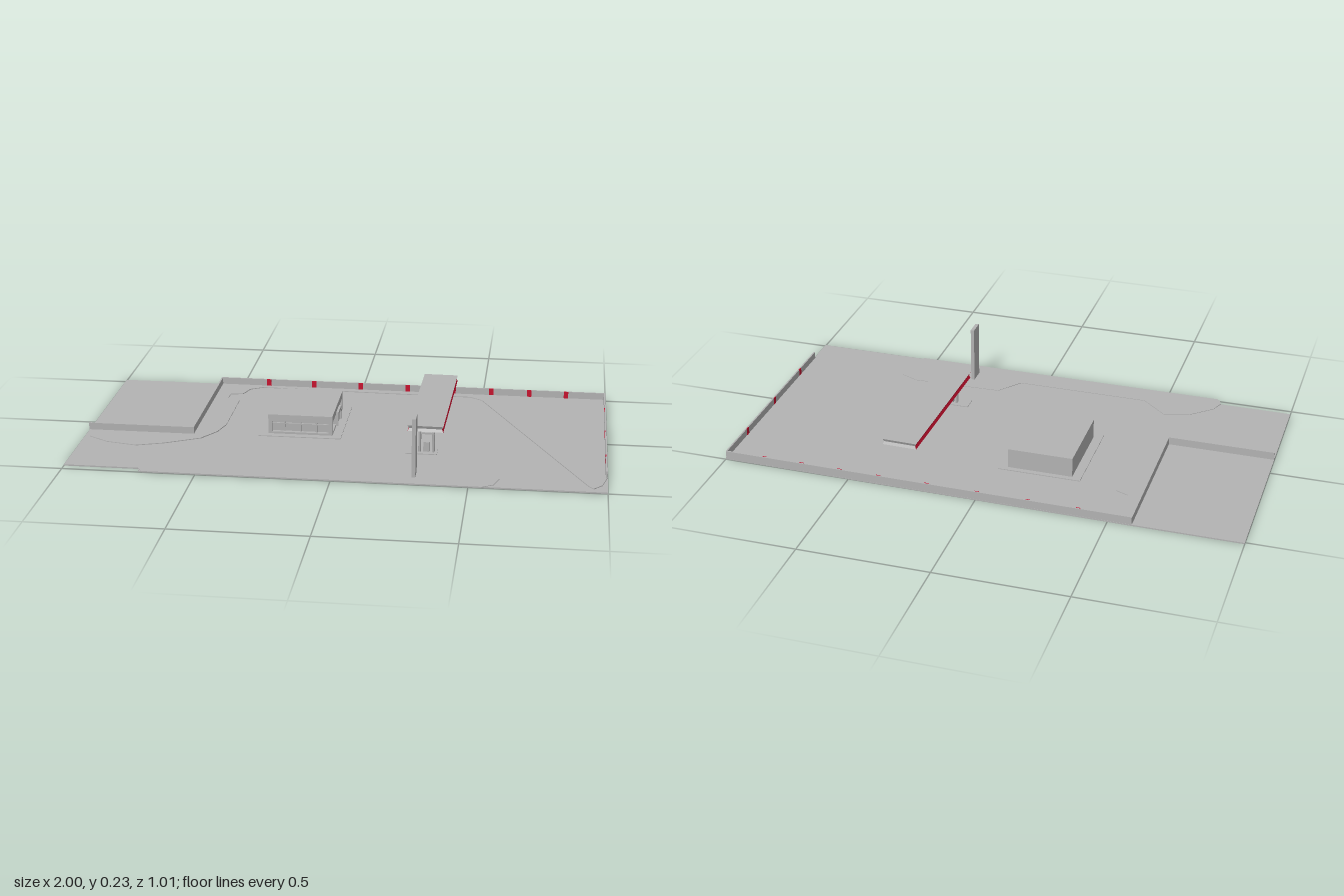
import * as THREE from 'three';

const grey = new THREE.MeshStandardMaterial({ color: 0xb3b3b3 });
grey.name = 'concreteGrey';
const red = new THREE.MeshStandardMaterial({ color: 0xc8102e });
red.name = 'signalRed';

function add(parent, name, geometry, material = grey) {
  const mesh = new THREE.Mesh(geometry, material);
  mesh.name = name;
  parent.add(mesh);
  return mesh;
}

// Box given by its minimum and maximum corners
function box(parent, name, [x0, y0, z0], [x1, y1, z1], material = grey) {
  const mesh = add(parent, name, new THREE.BoxGeometry(x1 - x0, y1 - y0, z1 - z0), material);
  mesh.position.set((x0 + x1) / 2, (y0 + y1) / 2, (z0 + z1) / 2);
  return mesh;
}

// Flat plate from an outline of [x, z] points
function plate(parent, name, outline, y0, y1) {
  const shape = new THREE.Shape(outline.map(([x, z]) => new THREE.Vector2(x, -z)));
  const geometry = new THREE.ExtrudeGeometry(shape, { depth: y1 - y0, bevelEnabled: false });
  geometry.rotateX(-Math.PI / 2).translate(0, y0, 0);
  return add(parent, name, geometry);
}

// Upright wall between two [x, z] points
function wall(parent, name, [x0, z0], [x1, z1]) {
  const mesh = add(parent, name,
    new THREE.BoxGeometry(Math.hypot(x1 - x0, z1 - z0), 0.03, 0.006));
  mesh.position.set((x0 + x1) / 2, 0.02, (z0 + z1) / 2);
  mesh.rotation.y = -Math.atan2(z1 - z0, x1 - x0);
  return mesh;
}

function createSite() {
  const site = new THREE.Group();
  site.name = 'site';
  plate(site, 'ground',
    [[-1, -0.51], [-0.59, -0.51], [1, -0.5], [1, 0.5], [-0.71, 0.5], [-0.72, 0.47], [-1, 0.47]], 0, 0.005);

  // Raised verge between the forecourt kerb and the boundary walls
  plate(site, 'verge', [
    [-1, 0.1], [-0.98, 0.17], [-0.9, 0.22], [-0.78, 0.245], [-0.68, 0.21], [-0.55, 0.14],
    [-0.5, 0.06], [-0.48, -0.02], [-0.48, -0.3], [-0.53, -0.32], [-0.53, -0.38], [-0.48, -0.39],
    [-0.46, -0.45], [-0.41, -0.48], [0.1, -0.467], [0.45, -0.463], [0.5, -0.43],
    [0.93, 0.45], [0.95, 0.475], [0.98, 0.44], [1, 0.36],
    [1, -0.498], [-0.59, -0.507], [-0.59, 0.1],
  ], 0.003, 0.008);

  // Raised pavement along the front edge
  plate(site, 'pavement', [
    [-0.7, 0.505], [-0.72, 0.47], [-0.7, 0.42], [-0.62, 0.35], [-0.52, 0.32], [-0.42, 0.41],
    [0.1, 0.41], [0.17, 0.32], [0.52, 0.31], [0.59, 0.34], [0.61, 0.42], [0.59, 0.48], [0.55, 0.505],
  ], 0.003, 0.007);

  wall(site, 'backWall', [-0.59, -0.506], [0.997, -0.497]);
  wall(site, 'sideWall', [0.996, -0.497], [0.996, 0.37]);
  wall(site, 'leftReturnWall', [-0.588, -0.506], [-0.588, 0.1]);
  wall(site, 'leftFrontWall', [-1, 0.098], [-0.586, 0.098]);

  // Red bands on the inner faces of the walls
  for (const x of [-0.39, -0.2, -0.005, 0.19, 0.38, 0.535, 0.69, 0.84]) {
    const z = -0.5025 + (x + 0.59) * 0.00566;
    box(site, 'backWallBand', [x - 0.009, 0.007, z - 0.002], [x + 0.009, 0.0355, z + 0.001], red);
  }
  for (const z of [-0.31, -0.05, 0.21]) {
    box(site, 'sideWallBand', [0.992, 0.007, z - 0.009], [0.995, 0.0355, z + 0.009], red);
  }
  return site;
}

function createShop() {
  const shop = new THREE.Group();
  shop.name = 'shop';
  box(shop, 'shopPlinth', [-0.335, 0.002, -0.275], [-0.015, 0.008, 0.085]);
  box(shop, 'shopCore', [-0.3, 0.005, -0.255], [-0.064, 0.062, 0.042]);
  box(shop, 'shopRoof', [-0.3, 0.058, -0.255], [-0.05, 0.085, 0.057]);
  box(shop, 'frontSill', [-0.3, 0.005, 0.04], [-0.05, 0.016, 0.057]);
  box(shop, 'sideSill', [-0.066, 0.005, -0.255], [-0.05, 0.016, 0.057]);
  // Corner posts and window rails
  for (const [x, z] of [[-0.3, 0.041], [-0.066, 0.041], [-0.066, -0.255]]) {
    box(shop, 'cornerPost', [x, 0.005, z], [x + 0.016, 0.06, z + 0.016]);
  }
  box(shop, 'frontWindowRail', [-0.29, 0.045, 0.04], [-0.06, 0.049, 0.049]);
  box(shop, 'sideWindowRail', [-0.066, 0.045, -0.245], [-0.057, 0.049, 0.05]);
  for (let i = 1; i < 4; i++) {
    const x = -0.3 + i * 0.0625;
    box(shop, 'windowMullion', [x - 0.002, 0.014, 0.04], [x + 0.002, 0.06, 0.047]);
  }
  // Entrance porch
  box(shop, 'porchRoof', [-0.07, 0.049, -0.145], [-0.041, 0.063, -0.055]);
  for (const z of [-0.145, -0.063]) box(shop, 'porchSide', [-0.07, 0.005, z], [-0.041, 0.05, z + 0.008]);
  box(shop, 'door', [-0.07, 0.005, -0.14], [-0.047, 0.05, -0.06]);
  return shop;
}

function createCanopy() {
  const canopy = new THREE.Group();
  canopy.name = 'canopy';

  // Roof with a V groove round its edge and red long sides
  const roof = new THREE.BoxGeometry(0.134, 0.022, 0.61, 1, 2, 1);
  const p = roof.attributes.position;
  for (let i = 0; i < p.count; i++) {
    if (Math.abs(p.getY(i)) < 0.001) {
      p.setX(i, p.getX(i) - Math.sign(p.getX(i)) * 0.005);
      p.setZ(i, p.getZ(i) - Math.sign(p.getZ(i)) * 0.005);
    }
  }
  const faceted = roof.toNonIndexed();
  faceted.computeVertexNormals();
  const mesh = add(canopy, 'canopyRoof', faceted, [red, red, grey, grey, grey, grey]);
  mesh.position.set(0.329, 0.114, -0.081);
  mesh.rotation.y = -0.022;

  // Post frame and pump at the front end
  box(canopy, 'pumpIsland', [0.245, 0.002, 0.15], [0.365, 0.008, 0.205]);
  for (const x of [0.298, 0.35]) {
    for (const z of [0.169, 0.181]) {
      const post = add(canopy, 'post', new THREE.CylinderGeometry(0.005, 0.005, 0.1, 8));
      post.position.set(x, 0.055, z);
    }
  }
  box(canopy, 'crossBeam', [0.293, 0.078, 0.168], [0.355, 0.084, 0.182]);
  box(canopy, 'pump', [0.312, 0.005, 0.168], [0.336, 0.046, 0.182]);
  return canopy;
}

export function createModel() {
  const model = new THREE.Group();
  model.name = 'fuelStation';
  model.add(createSite(), createShop(), createCanopy());
  box(model, 'signPylon', [0.291, 0.003, 0.381], [0.305, 0.231, 0.444]);
  return model;
}
